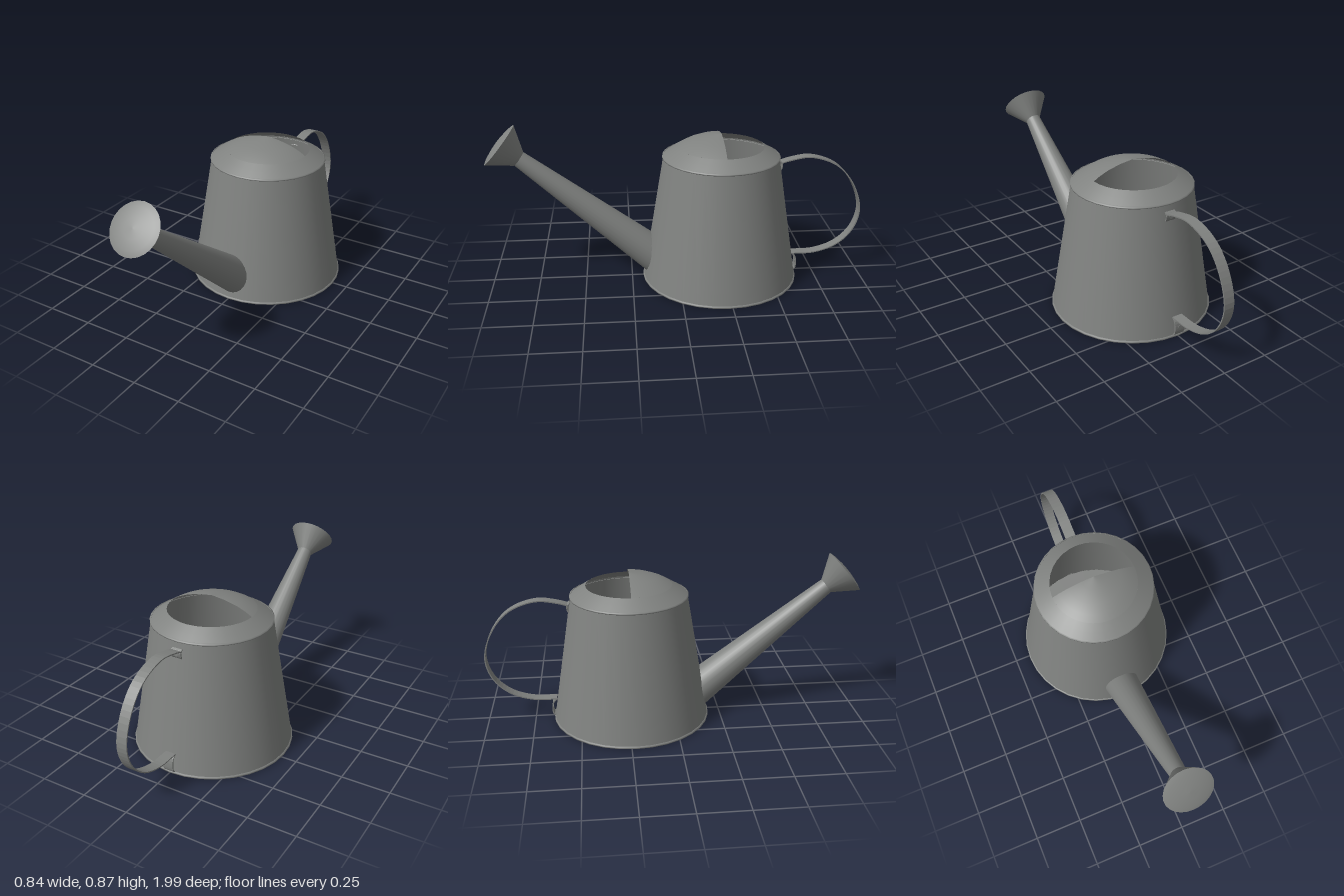
import * as THREE from 'three';

const CENTRE_Z = -0.23; // axis of the can

export function createModel() {
  const can = new THREE.Group();
  can.name = 'wateringCan';
  const metal = new THREE.MeshStandardMaterial({ color: 0x808280 });
  metal.name = 'grey metal';
  metal.side = THREE.DoubleSide;

  const add = (name, geometry, x = 0, y = 0, z = 0) => {
    const mesh = new THREE.Mesh(geometry, metal);
    mesh.name = name;
    mesh.position.set(x, y, z);
    can.add(mesh);
    return mesh;
  };
  const lathe = (pts, segments = 32, start = 0, length = Math.PI * 2) =>
    new THREE.LatheGeometry(pts.map(([r, y]) => new THREE.Vector2(r, y)), segments, start, length);

  // Tapered body with a floor
  add('body', lathe([[0.415, 0.005], [0.305, 0.683]]), 0, 0, CENTRE_Z);
  add('floor', new THREE.CircleGeometry(0.416, 32).rotateX(Math.PI / 2), 0, 0.004, CENTRE_Z);

  // Rolled rims
  add('bottomRim', lathe([[0.413, 0], [0.42, 0.001], [0.42, 0.009], [0.413, 0.012]]), 0, 0, CENTRE_Z);
  add('topRim', lathe([[0.304, 0.674], [0.311, 0.678], [0.311, 0.684], [0.303, 0.688]]), 0, 0, CENTRE_Z);

  // Shoulder all round, and a hood over the front half only
  add('shoulder', lathe([[0.304, 0.684], [0.265, 0.71], [0.225, 0.735]]), 0, 0, CENTRE_Z);
  add('hood', lathe([[0.225, 0.735], [0.19, 0.754], [0.14, 0.774], [0.07, 0.791], [0, 0.8]],
    24, -Math.PI / 2, Math.PI), 0, 0, CENTRE_Z);

  // Spout and rose share one sloping axis
  const slope = Math.atan2(0.773, 0.635);
  const spout = add('spout', lathe([[0.1, 0], [0.042, 0.955]], 24), 0, 0.087, 0.083);
  spout.rotation.x = slope;
  const rose = add('rose', lathe([[0.042, 0], [0.127, 0.123]], 24), 0, 0.69, 0.82);
  rose.rotation.x = slope;
  const face = add('roseFace', lathe([[0.127, 0.123], [0.1, 0.131], [0.05, 0.138], [0, 0.14]], 24), 0, 0.69, 0.82);
  face.rotation.x = slope;

  // Handle: a thin strap swept along a curve in the middle plane
  const strap = (name, points, width, steps) => {
    const curve = new THREE.CatmullRomCurve3(points.map(([z, y]) => new THREE.Vector3(0, y, z)));
    const half = 0.003;
    const outer = [], inner = [];
    for (let i = 0; i <= steps; i++) {
      const p = curve.getPoint(i / steps);
      const t = curve.getTangent(i / steps);
      outer.push(new THREE.Vector2(p.z - t.y * half, p.y + t.z * half));
      inner.unshift(new THREE.Vector2(p.z + t.y * half, p.y - t.z * half));
    }
    const geometry = new THREE.ExtrudeGeometry(new THREE.Shape([...outer, ...inner]),
      { depth: width, bevelEnabled: false });
    geometry.translate(0, 0, -width / 2).rotateY(-Math.PI / 2);
    add(name, geometry);
  };
  strap('handle', [[-0.545, 0.636], [-0.6, 0.652], [-0.71, 0.666], [-0.85, 0.617], [-0.945, 0.51],
    [-0.993, 0.36], [-0.96, 0.24], [-0.875, 0.155], [-0.757, 0.113], [-0.632, 0.108]], 0.056, 48);

  // Folded tabs that fix the handle to the wall
  strap('upperTab', [[-0.54, 0.645], [-0.553, 0.635], [-0.551, 0.61], [-0.545, 0.6]], 0.056, 10);
  strap('lowerTab', [[-0.632, 0.108], [-0.65, 0.09], [-0.657, 0.05], [-0.652, 0.02], [-0.642, 0.014]], 0.056, 12);
  for (const [y, z] of [[0.622, -0.553], [0.055, -0.656]]) {
    add('rivet', new THREE.CylinderGeometry(0.011, 0.011, 0.008, 12).rotateX(Math.PI / 2), 0, y, z);
  }
  return can;
}
